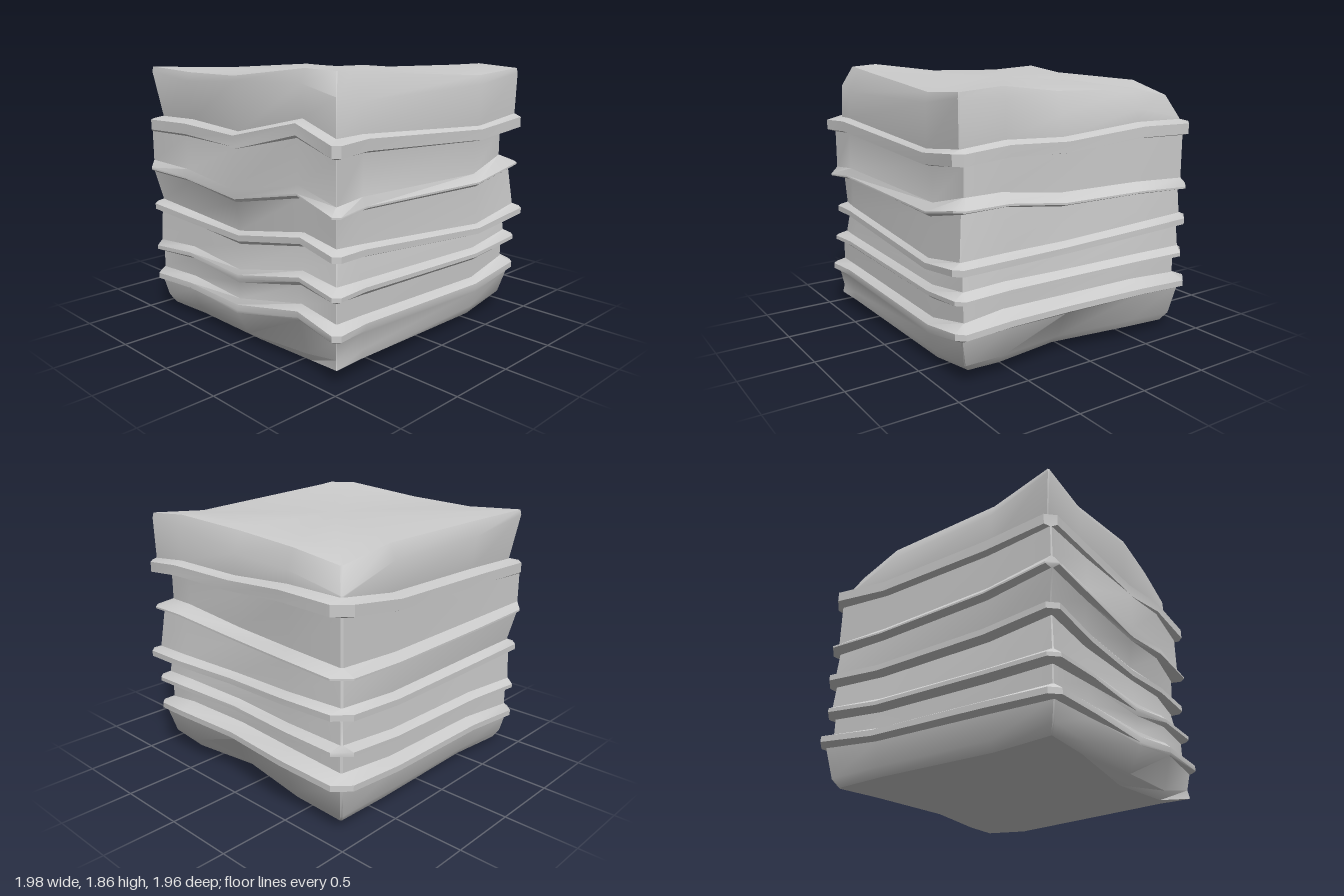
import * as THREE from 'three';
import { toCreasedNormals } from 'three/addons/utils/BufferGeometryUtils.js';

// Perimeter columns: x, z, outward x, outward z, ledge reach, ledge chamfer (corners only).
// Order: front (4 with corners), right side, back, left side.
const columns = [
  [-0.86, 0.87, -1, 1, 0.095, 0.04], [-0.68, 0.89, 0, 1, 0.05], [0.48, 0.88, 0, 1, 0.035],
  [0.87, 0.89, 1, 1, 0.06, 0.05], [0.88, 0.6, 1, 0, 0.07], [0.82, 0.12, 1, 0, 0.065], [0.89, -0.45, 1, 0, 0.075],
  [0.87, -0.87, 1, -1, 0.09, 0.1], [0.42, -0.87, 0, -1, 0.075], [-0.45, -0.86, 0, -1, 0.075],
  [-0.91, -0.89, -1, -1, 0.065, 0.06], [-0.9, -0.5, -1, 0, 0.06], [-0.93, 0.05, -1, 0, 0.035], [-0.87, 0.6, -1, 0, 0.055],
];

// Ledges from lowest to highest. top: wavy top line, one height per column.
// drop: thickness; shelf and lip: where the outer edge starts and ends.
// below, extra and waist: outward shift of the rock under the ledge, of the ledge
// and of the rock above it, for the corners front left, front right, back right, back left.
const ledges = [
  { top: [.38, .38, .33, .41, .45, .42, .45, .42, .37, .35, .32, .34, .33, .43], drop: .1, shelf: .4, lip: .8, below: [.06, .02, .03, .02], extra: [.01, 0, .01, 0], waist: [.03, -.02, 0, .01] },
  { top: [.6, .6, .55, .61, .63, .6, .63, .62, .57, .55, .53, .56, .53, .64], drop: .09, shelf: .4, lip: .7, below: [.03, -.02, 0, .01], extra: [-.01, 0, -.01, 0], waist: [.01, -.01, .02, .02] },
  { top: [.83, .83, .73, .81, .82, .8, .85, .86, .82, .82, .84, .81, .79, .88], drop: .09, shelf: .3, lip: .75, below: [-.01, -.02, .01, .01], extra: [-.03, .035, 0, 0], waist: [0, .03, .02, 0] },
  { top: [1.1, 1.12, 1.08, 1.17, 1.18, 1.11, 1.13, 1.11, 1.09, 1.1, 1.13, 1.12, 1.07, 1.18], drop: .085, shelf: .6, lip: .75, below: [.01, 0, .01, .04], extra: [0, 0, 0, .01], waist: [.05, -.05, .02, .04] },
  { top: [1.48, 1.49, 1.42, 1.47, 1.5, 1.47, 1.53, 1.52, 1.46, 1.45, 1.45, 1.46, 1.44, 1.57], drop: .11, shelf: .2, lip: .85, below: [.05, -.05, .02, .04], extra: [.01, .01, 0, 0], waist: [.01, .02, 0, -.02] },
];

// Bottom and top edges of the block: height and outward shift per column
const bottomLine = [.1, .1, .05, .07, .08, .07, .08, .05, .05, .04, .04, .04, 0, .03];
const bottomShift = [.05, .02, -.03, -.08, -.06, -.08, -.05, -.05, -.04, -.05, -.04, -.05, -.13, -.05];
const crownLine = [1.85, 1.84, 1.76, 1.79, 1.81, 1.75, 1.74, 1.68, 1.76, 1.77, 1.8, 1.78, 1.79, 1.86];
const crownShift = [-.06, -.08, 0, .02, -.01, -.06, -.05, -.07, -.03, -.03, .02, 0, .02, -.02];

// Spreads four corner values along the sides between them
const cornerAt = [0, 3, 7, 10, 14];
function spread(corners, i) {
  const s = cornerAt.findIndex((c, k) => i >= c && i < cornerAt[k + 1]);
  const t = (i - cornerAt[s]) / (cornerAt[s + 1] - cornerAt[s]);
  return THREE.MathUtils.lerp(corners[s], corners[(s + 1) % 4], t);
}

// One closed ring; each corner column becomes a chamfer of two points
function ring(heightAt, shiftAt, chamferScale = 0.12) {
  const points = [];
  columns.forEach(([x, z, ox, oz, , chamfer], i) => {
    const d = shiftAt(i), y = heightAt(i);
    const px = x + ox * d, pz = z + oz * d;
    if (chamfer) {
      const c = chamfer * chamferScale;
      const alongZ = [px, y, pz - oz * c], alongX = [px - ox * c, y, pz];
      points.push(...(ox * oz < 0 ? [alongZ, alongX] : [alongX, alongZ]));
    } else points.push([px, y, pz]);
  });
  return points;
}

// Ring pulled towards the middle to form the domed top and flat underside
function shrink(points, k, y, mix) {
  return points.map(p => [p[0] * k, p[1] + (y - p[1]) * mix, p[2] * k]);
}

// Joins the rings from bottom to top and closes both ends with fans
function loft(rings, lowY, highY) {
  const n = rings[0].length, index = [];
  const position = rings.flat(2);
  for (let r = 0; r < rings.length - 1; r++) {
    for (let i = 0; i < n; i++) {
      const a = r * n + i, b = r * n + (i + 1) % n;
      index.push(a, b, b + n, a, b + n, a + n);
    }
  }
  const low = rings.length * n, high = low + 1, last = low - n;
  position.push(0, lowY, 0, 0, highY, 0);
  for (let i = 0; i < n; i++) {
    const j = (i + 1) % n;
    index.push(low, j, i, high, last + i, last + j);
  }
  const geometry = new THREE.BufferGeometry();
  geometry.setAttribute('position', new THREE.Float32BufferAttribute(position, 3));
  geometry.setIndex(index);
  return toCreasedNormals(geometry, 0.6);
}

export function createModel() {
  const group = new THREE.Group();
  group.name = 'layeredRock';

  // Underside and base
  const foot = ring(i => bottomLine[i], i => bottomShift[i]);
  const rings = [shrink(foot, 0.8, 0.06, 0.6), foot];
  rings.push(ring(i => bottomLine[i] + 0.06, i => bottomShift[i] * 0.5 + 0.015));

  // Ledges with bands of body rock between them; the base flares into the lowest one on the right
  ledges.forEach(({ top, drop, shelf, lip, below, extra, waist }, level) => {
    const flare = i => (level === 0 && i > 3 && i < 7 ? 0.025 : 0);
    const out = i => columns[i][4] + spread(extra, i) + flare(i);
    rings.push(ring(i => top[i] - drop, i => spread(below, i) + flare(i) * 1.6));
    rings.push(ring(i => top[i] - drop * lip, out, 1));
    rings.push(ring(i => top[i] - drop * shelf, out, 1));
    rings.push(ring(i => top[i], i => spread(waist, i)));
  });

  // Crown: shoulder, rim and gently rounded top
  rings.push(ring(i => crownLine[i] - 0.06 + crownShift[i] * 1.3, i => crownShift[i] * 0.3 + 0.02));
  const rim = ring(i => crownLine[i], i => crownShift[i]);
  rings.push(rim, shrink(rim, 0.82, 1.79, 0.4), shrink(rim, 0.45, 1.79, 0.8));

  const material = new THREE.MeshStandardMaterial({ color: 0xcccccc });
  const rock = new THREE.Mesh(loft(rings, 0.06, 1.79), material);
  rock.name = 'rockBlock';
  group.add(rock);
  return group;
}
